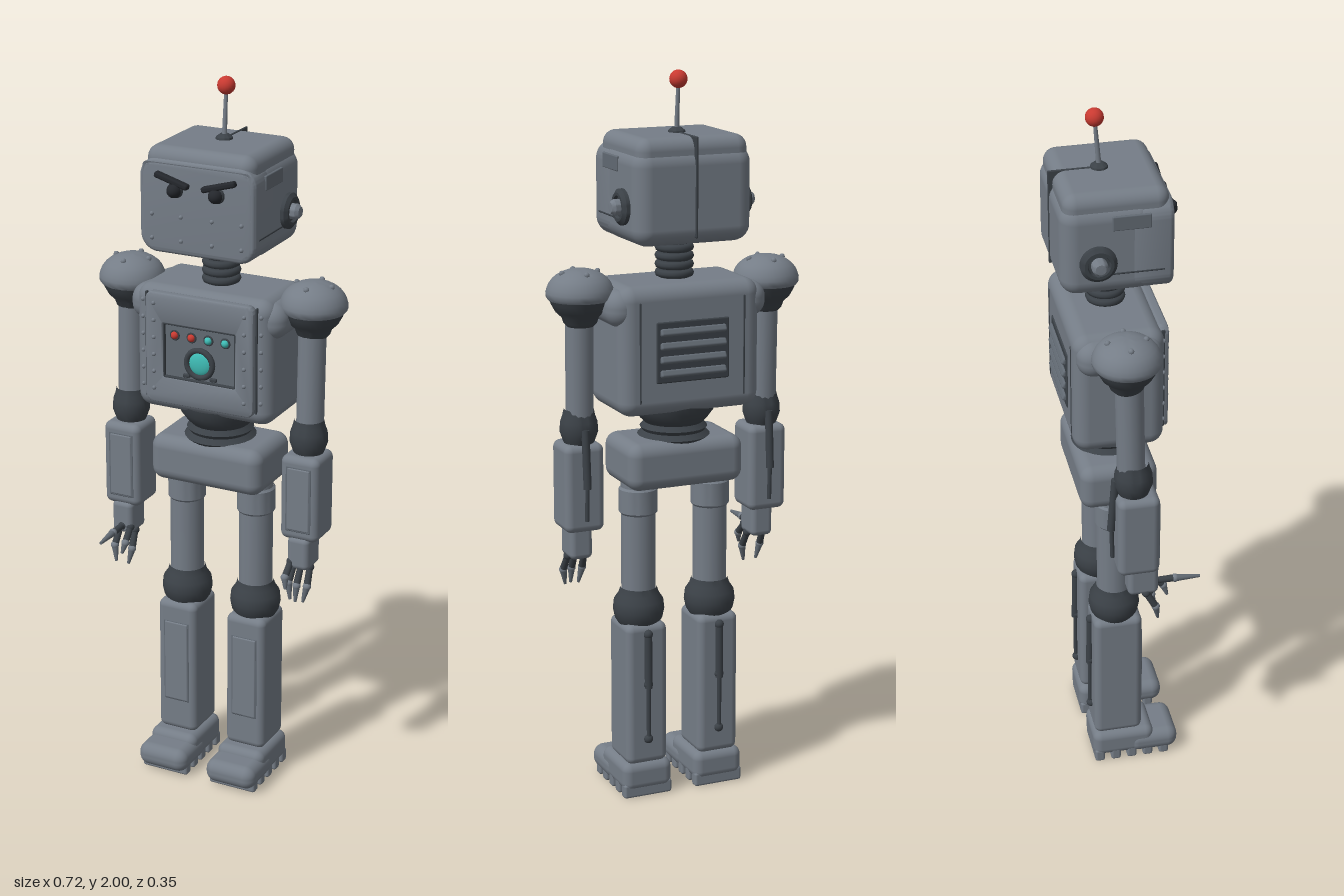
import * as THREE from 'three';
import { toCreasedNormals } from 'three/addons/utils/BufferGeometryUtils.js';
import { RoundedBoxGeometry } from 'three/addons/geometries/RoundedBoxGeometry.js';

const paint = (name, color) => {
  const m = new THREE.MeshStandardMaterial({ color });
  m.name = name;
  return m;
};
const V = (x, y, z) => new THREE.Vector3(x, y, z);

export function createModel() {
  const body = paint('steel grey', 0x757d87);
  const panel = paint('panel grey', 0x626a73);
  const dark = paint('joint charcoal', 0x3b4147);
  const black = paint('eye black', 0x24272c);
  const visor = paint('visor dark', 0x3a3741);
  const red = paint('signal red', 0xc93a31);
  const teal = paint('power teal', 0x3fbdb6);

  const root = new THREE.Group();
  root.name = 'robot';
  const group = (name) => {
    const g = new THREE.Group();
    g.name = name;
    root.add(g);
    return g;
  };
  const add = (g, name, geo, mat, x = 0, y = 0, z = 0) => {
    const m = new THREE.Mesh(geo, mat);
    m.name = name;
    m.position.set(x, y, z);
    g.add(m);
    return m;
  };
  // Rounded box given by its centre x, y range and z range
  const block = (g, name, mat, x, w, y0, y1, z0, z1, r) =>
    add(g, name, new RoundedBoxGeometry(w, y1 - y0, z1 - z0, 4, r), mat, x, (y0 + y1) / 2, (z0 + z1) / 2);
  // Turned part from [radius, height] pairs, bottom to top
  const turned = (g, name, mat, pts, x, y, z, n = 32) =>
    add(g, name, toCreasedNormals(new THREE.LatheGeometry(pts.map(p => new THREE.Vector2(...p)), n), 0.6), mat, x, y, z);
  // Tapered rod between two points
  const rod = (g, name, mat, a, b, ra, rb = ra) => {
    const d = b.clone().sub(a);
    const m = add(g, name, new THREE.CylinderGeometry(rb, ra, d.length(), 14), mat);
    m.position.copy(a).add(b).multiplyScalar(0.5);
    m.quaternion.setFromUnitVectors(V(0, 1, 0), d.normalize());
    return m;
  };
  const ball = (g, name, mat, x, y, z, r) => add(g, name, new THREE.SphereGeometry(r, 20, 14), mat, x, y, z);
  const rivet = (g, x, y, z, r = 0.006) => add(g, 'rivet', new THREE.SphereGeometry(r, 8, 6), body, x, y, z);
  const roundRect = (P, x0, y0, x1, y1, r) => {
    const p = new P();
    p.absarc(x1 - r, y1 - r, r, 0, Math.PI / 2);
    p.absarc(x0 + r, y1 - r, r, Math.PI / 2, Math.PI);
    p.absarc(x0 + r, y0 + r, r, Math.PI, Math.PI * 1.5);
    p.absarc(x1 - r, y0 + r, r, Math.PI * 1.5, Math.PI * 2);
    p.closePath();
    return p;
  };
  // Rounded frame facing +z with a rounded opening
  const frame = (g, name, mat, o, ro, h, rh, z0, z1, bevel) => {
    const s = roundRect(THREE.Shape, o[0] + bevel, o[1] + bevel, o[2] - bevel, o[3] - bevel, ro);
    s.holes.push(roundRect(THREE.Path, h[0] - bevel, h[1] - bevel, h[2] + bevel, h[3] + bevel, rh));
    const geo = new THREE.ExtrudeGeometry(s, { depth: z1 - z0 - 2 * bevel, bevelSize: bevel, bevelThickness: bevel, bevelSegments: 4, curveSegments: 8 });
    return add(g, name, toCreasedNormals(geo, 0.7), mat, 0, 0, z0 + bevel);
  };

  // Head: shell, lid, visor frame
  const head = group('head');
  block(head, 'headShell', body, 0, 0.335, 1.555, 1.808, -0.175, 0.07, 0.045);
  block(head, 'headLid', body, 0, 0.315, 1.74, 1.837, -0.166, 0.108, 0.034);
  frame(head, 'visorFrame', body, [-0.168, 1.555, 0.168, 1.808], 0.035, [-0.142, 1.68, 0.142, 1.785], 0.012, 0.0, 0.116, 0.014);
  block(head, 'visorFloor', visor, 0, 0.31, 1.67, 1.795, 0.065, 0.08, 0.004);
  block(head, 'headSeam', dark, 0, 0.007, 1.575, 1.8395, -0.178, -0.05, 0.003);
  for (const x of [-0.13, -0.045, 0.045, 0.13]) for (const y of [1.595, 1.66]) rivet(head, x, y, 0.116);
  for (const s of [-1, 1]) {
    // Eye with slanted brow
    const barrel = add(head, 'eyeBarrel', new THREE.CylinderGeometry(0.02, 0.032, 0.05, 20), dark, s * 0.06, 1.732, 0.1);
    barrel.rotation.x = Math.PI / 2;
    ball(head, 'eyeLens', black, s * 0.06, 1.732, 0.122, 0.02).scale.z = 1.2;
    const brow = add(head, 'brow', new RoundedBoxGeometry(0.1, 0.016, 0.055, 3, 0.006), black, s * 0.068, 1.757, 0.105);
    brow.rotation.z = s * 0.28;
    // Side hatch, jaw line and ear
    block(head, 'sideHatch', panel, s * 0.167, 0.008, 1.742, 1.782, -0.045, 0.055, 0.003);
    block(head, 'jawSeam', dark, s * 0.1665, 0.006, 1.617, 1.622, -0.06, 0.09, 0.002);
    const ear = turned(head, 'earPod', dark, [[0, 0], [0.048, 0], [0.048, 0.018], [0.038, 0.026], [0.03, 0.026], [0.027, 0.018], [0.02, 0.018]], s * 0.16, 1.655, -0.082);
    ear.rotation.z = -s * Math.PI / 2;
    const cap = turned(head, 'earCap', body, [[0.021, 0], [0.021, 0.036], [0.014, 0.045], [0, 0.046]], s * 0.16, 1.655, -0.082);
    cap.rotation.z = -s * Math.PI / 2;
  }
  // Antenna
  turned(head, 'antennaBase', dark, [[0.024, 0], [0.022, 0.008], [0.012, 0.016], [0, 0.017]], 0, 1.834, -0.045);
  rod(head, 'antennaRod', body, V(0, 1.84, -0.045), V(0, 1.965, -0.055), 0.007, 0.005);
  ball(head, 'antennaBall', red, 0, 1.976, -0.056, 0.024);

  // Ribbed neck
  const neck = group('neck');
  rod(neck, 'neckCore', dark, V(0, 1.44, -0.03), V(0, 1.57, -0.03), 0.042);
  for (let i = 0; i < 5; i++) {
    add(neck, 'neckRib', new THREE.TorusGeometry(0.042, 0.011, 8, 28), dark, 0, 1.462 + i * 0.023, -0.03).rotation.x = Math.PI / 2;
  }

  // Torso with yoke, front plate and instruments
  const torso = group('torso');
  block(torso, 'torsoShell', body, 0, 0.405, 1.1, 1.45, -0.152, 0.09, 0.04);
  block(torso, 'shoulderYoke', body, 0, 0.46, 1.34, 1.44, -0.145, 0.08, 0.045);
  frame(torso, 'chestPlate', body, [-0.16, 1.13, 0.16, 1.44], 0.015, [-0.106, 1.206, 0.106, 1.357], 0.008, 0.08, 0.106, 0.006);
  block(torso, 'controlPanel', panel, 0, 0.22, 1.2, 1.363, 0.085, 0.095, 0.003);
  for (const s of [-1, 1]) {
    block(torso, 'chestSeam', dark, s * 0.163, 0.006, 1.14, 1.435, 0.084, 0.094, 0.002);
    block(torso, 'panelEdge', dark, s * 0.106, 0.005, 1.206, 1.357, 0.09, 0.104, 0.002);
    block(torso, 'backSeam', dark, s * 0.15, 0.005, 1.14, 1.41, -0.154, -0.148, 0.002);
    for (let i = 0; i < 6; i++) {
      rivet(torso, s * 0.134, 1.17 + i * 0.048, 0.106);
      rivet(torso, s * 0.175, 1.17 + i * 0.048, 0.088);
    }
    block(torso, 'panelSwitch', dark, s * 0.04, 0.02, 1.212, 1.222, 0.09, 0.102, 0.003);
  }
  for (const y of [1.206, 1.357]) block(torso, 'panelEdge', dark, 0, 0.212, y - 0.003, y + 0.003, 0.09, 0.104, 0.002);
  [-0.075, -0.025, 0.025, 0.075].forEach((x, i) => {
    ball(torso, 'indicatorLight', i < 2 ? red : teal, x, 1.326, 0.097, 0.011);
    add(torso, 'lightBezel', new THREE.TorusGeometry(0.012, 0.003, 6, 18), dark, x, 1.326, 0.097);
  });
  add(torso, 'coreRing', new THREE.TorusGeometry(0.038, 0.008, 10, 32), dark, 0, 1.257, 0.1);
  ball(torso, 'powerCore', teal, 0, 1.257, 0.096, 0.034).scale.z = 0.35;
  // Back vents
  block(torso, 'ventBed', dark, 0, 0.21, 1.19, 1.355, -0.156, -0.145, 0.004);
  for (let i = 0; i < 4; i++) {
    const slat = add(torso, 'ventSlat', new RoundedBoxGeometry(0.19, 0.02, 0.016, 3, 0.006), panel, 0, 1.216 + i * 0.037, -0.157);
    slat.rotation.x = 0.5;
  }

  // Waist bellows and pelvis
  const hips = group('hips');
  turned(hips, 'waist', dark, [[0.09, 0], [0.1, 0.012], [0.085, 0.025], [0.092, 0.035], [0.08, 0.048], [0.092, 0.06], [0.11, 0.085], [0.115, 0.11]], 0, 1.005, -0.025);
  block(hips, 'pelvis', body, 0, 0.335, 0.887, 1.018, -0.13, 0.082, 0.035);

  for (const s of [-1, 1]) {
    const side = s > 0 ? 'left' : 'right';

    // Leg
    const leg = group(side + 'Leg');
    const lx = s * 0.107, lz = -0.03;
    rod(leg, 'thigh', body, V(lx, 0.56, lz), V(lx, 0.9, lz), 0.048);
    turned(leg, 'thighRing', body, [[0.048, 0], [0.053, 0.006], [0.053, 0.07], [0.048, 0.076]], lx, 0.805, lz);
    turned(leg, 'knee', dark, [[0.055, -0.05], [0.066, -0.032], [0.071, -0.008], [0.068, 0.018], [0.056, 0.036], [0.05, 0.055]], lx, 0.54, lz);
    block(leg, 'shin', body, lx, 0.12, 0.095, 0.502, -0.096, 0.041, 0.02);
    block(leg, 'shinPanel', body, lx, 0.072, 0.195, 0.44, 0.035, 0.045, 0.004);
    block(leg, 'shinPanelEdge', panel, lx, 0.08, 0.191, 0.444, 0.034, 0.0425, 0.004);
    rod(leg, 'calfPistonSleeve', dark, V(lx, 0.32, -0.1), V(lx, 0.48, -0.097), 0.011);
    rod(leg, 'calfPistonRod', dark, V(lx, 0.17, -0.1), V(lx, 0.33, -0.1), 0.006);
    for (const y of [0.17, 0.33, 0.475]) ball(leg, 'pistonKnob', dark, lx, y, -0.097, 0.013);

    // Foot with ridged sole
    block(leg, 'foot', body, lx, 0.145, 0.018, 0.1, -0.102, 0.075, 0.024);
    block(leg, 'toeCap', body, lx, 0.152, 0.014, 0.082, 0.0, 0.146, 0.03);
    for (let i = 0; i < 5; i++) block(leg, 'soleRidge', body, lx, 0.142, 0, 0.04, -0.098 + i * 0.047, -0.07 + i * 0.047, 0.007);

    // Shoulder and arm
    const arm = group(side + 'Arm');
    const ax = s * 0.271, az = -0.03;
    const dome = [[0.084, -0.02], [0.09, -0.012], [0.091, 0]];
    for (let i = 1; i <= 8; i++) dome.push([0.089 * Math.cos(i * Math.PI / 16), 0.062 * Math.sin(i * Math.PI / 16)]);
    turned(arm, 'shoulderDome', body, dome, ax, 1.43, az);
    turned(arm, 'shoulderJoint', dark, [[0.036, 0], [0.045, 0.01], [0.05, 0.025], [0.066, 0.04], [0.078, 0.062], [0.084, 0.078], [0, 0.078]], ax, 1.338, az);
    rod(arm, 'shoulderAxle', dark, V(s * 0.18, 1.395, az), V(ax, 1.395, az), 0.038);
    for (let i = 0; i < 4; i++) {
      const a = i * Math.PI / 2;
      rivet(arm, ax + 0.05 * Math.cos(a), 1.481, az + 0.05 * Math.sin(a), 0.008);
    }
    rod(arm, 'upperArm', body, V(ax, 1.09, -0.018), V(ax, 1.36, -0.024), 0.038);
    turned(arm, 'elbow', dark, [[0.036, -0.055], [0.044, -0.035], [0.052, -0.012], [0.05, 0.015], [0.044, 0.032], [0.04, 0.05]], ax, 1.06, -0.012);
    block(arm, 'forearm', body, ax, 0.112, 0.775, 1.018, -0.062, 0.052, 0.02);
    block(arm, 'forearmPanelEdge', panel, ax, 0.076, 0.802, 0.993, 0.045, 0.0535, 0.004);
    block(arm, 'forearmPanel', body, ax, 0.066, 0.807, 0.988, 0.046, 0.0555, 0.004);
    rod(arm, 'forearmPistonSleeve', dark, V(ax, 0.9, -0.072), V(ax, 1.06, -0.06), 0.011);
    rod(arm, 'forearmPistonRod', dark, V(ax, 0.81, -0.068), V(ax, 0.91, -0.071), 0.006);

    // Hand: palm, curled fingers, thumb; the right hand points forward
    block(arm, 'palm', body, ax, 0.064, 0.69, 0.785, -0.03, 0.054, 0.015);
    const finger = (name, a, b, c) => {
      ball(arm, 'knuckle', dark, a.x, a.y, a.z, 0.012);
      rod(arm, name, dark, a, b, 0.009, 0.01);
      ball(arm, 'fingerJoint', body, b.x, b.y, b.z, 0.0115);
      rod(arm, name + 'Tip', panel, b, c, 0.0105, 0.004);
    };
    for (const [dx, z] of [[-0.024, 0.02], [0.0, 0.028], [0.024, 0.02]]) {
      if (s < 0 && dx === 0) continue;
      finger('finger', V(ax + dx, 0.692, z), V(ax + dx * 1.15, 0.645, z + 0.026), V(ax + dx * 0.8, 0.6, z + 0.034));
    }
    finger('thumb', V(ax - s * 0.022, 0.71, 0.045), V(ax - s * 0.024, 0.675, 0.078), V(ax - s * 0.018, 0.645, 0.088));
    if (s < 0) finger('pointingFinger', V(ax, 0.712, 0.05), V(ax, 0.712, 0.105), V(ax, 0.708, 0.175));
  }
  return root;
}
